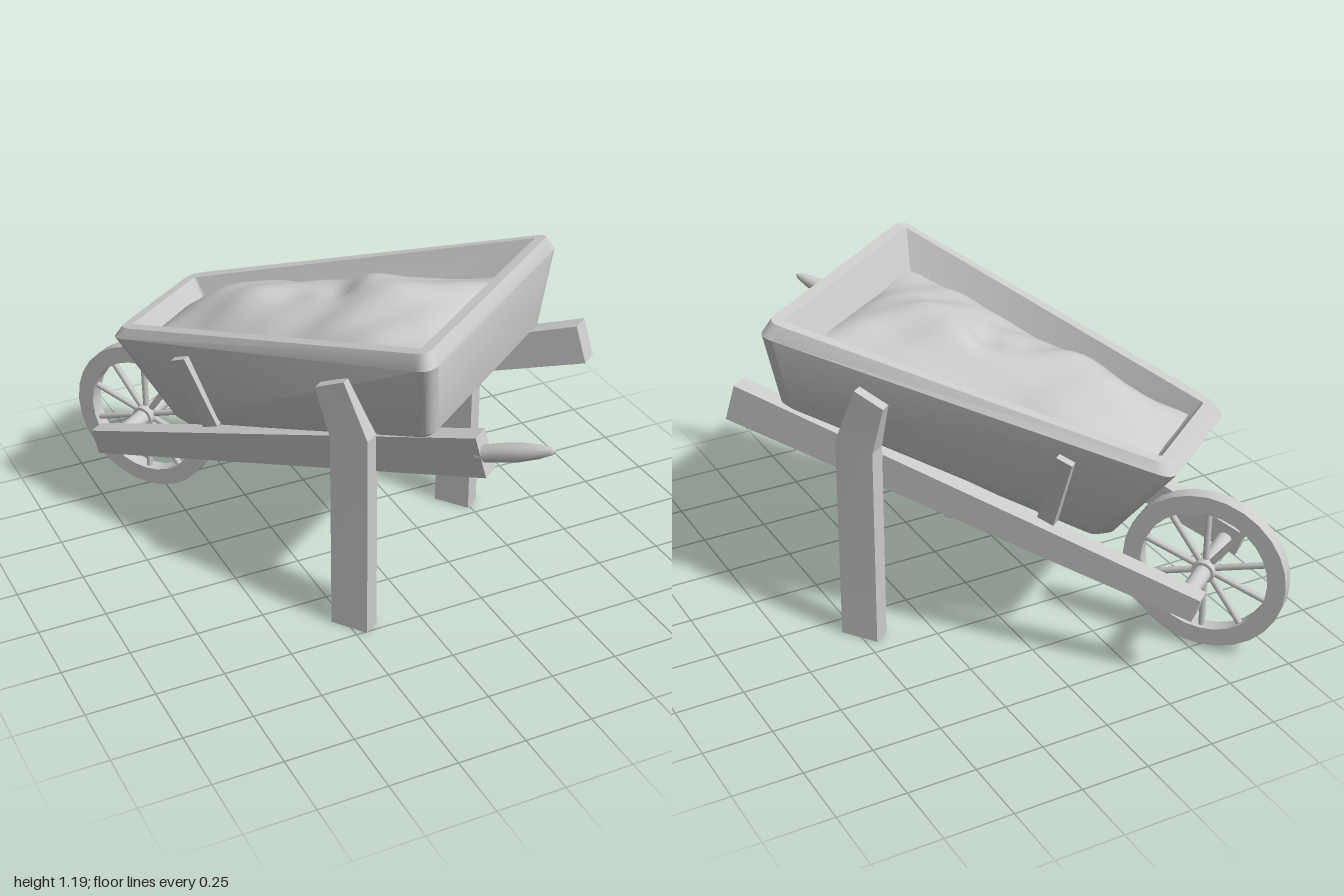
import * as THREE from 'three';
import { toCreasedNormals } from 'three/addons/utils/BufferGeometryUtils.js';

const material = new THREE.MeshStandardMaterial({ color: 0xcccccc });

function add(parent, name, geometry) {
  const mesh = new THREE.Mesh(geometry, material);
  mesh.name = name;
  parent.add(mesh);
  return mesh;
}

// Solid skin through rings of [x, y, z] points, closed at both ends.
function loft(rings, crease = 0.6) {
  const n = rings[0].length, idx = [], last = (rings.length - 1) * n;
  for (let i = 0; i < rings.length - 1; i++) {
    for (let j = 0; j < n; j++) {
      const a = i * n + j, b = i * n + (j + 1) % n;
      idx.push(a, b, b + n, a, b + n, a + n);
    }
  }
  for (let j = 1; j < n - 1; j++) {
    idx.push(0, j + 1, j);
    idx.push(last, last + j, last + j + 1);
  }
  const g = new THREE.BufferGeometry();
  g.setAttribute('position', new THREE.Float32BufferAttribute(rings.flat(2), 3));
  g.setIndex(idx);
  return toCreasedNormals(g, crease);
}

// Mirrors rings to the other side while keeping the faces outward.
const sided = (rings, side) => side > 0 ? rings
  : rings.map(r => r.map(([x, y, z]) => [-x, y, z]).reverse());

// Horizontal rectangle, with its own height at the front and rear edge.
const flatRect = (x0, x1, z0, z1, yFront, yRear = yFront) =>
  [[x1, yRear, z1], [x1, yFront, z0], [x0, yFront, z0], [x0, yRear, z1]];

// Upright rectangle around a beam end, tilted square to the beam.
function beamEnd(x, y, z, w, h) {
  const t = 0.3, a = w / 2, b = h / 2 * 0.955;
  return [[x - a, y - b, z + b * t], [x + a, y - b, z + b * t],
    [x + a, y + b, z - b * t], [x - a, y + b, z - b * t]];
}

// Sloping trapezoid with rounded corners.
function trayRing(zf, yf, hf, zr, yr, hr, r) {
  const c = [[hr, zr], [hf, zf], [-hf, zf], [-hr, zr]].map(p => new THREE.Vector2(...p));
  const out = [];
  c.forEach((p, i) => {
    const toward = q => q.clone().sub(p).setLength(r).add(p);
    const arc = new THREE.QuadraticBezierCurve(toward(c[(i + 3) % 4]), p, toward(c[(i + 1) % 4]));
    arc.getPoints(5).forEach(v =>
      out.push([v.x, yf + (yr - yf) * (v.y - zf) / (zr - zf), v.y]));
  });
  return out;
}

// Uneven heap of soil filling the tray.
function soilGeometry() {
  const g = new THREE.PlaneGeometry(2, 1, 28, 36);
  const p = g.attributes.position;
  for (let i = 0; i < p.count; i++) {
    const s = p.getX(i), t = 0.5 - p.getY(i);
    const x = s * (0.205 + 0.17 * t), z = -0.765 + 1.175 * t;
    const ends = 1 - Math.abs(2 * t - 1) ** 5;
    const lumps = 0.022 * Math.sin(9 * x + 5 * z + 1) * Math.cos(8 * z - 6 * x)
      + 0.012 * Math.sin(21 * x - 9 * z) * Math.sin(17 * z + 2);
    const hollow = 0.05 * Math.exp(-((x - 0.01) ** 2 + (z + 0.08) ** 2) / 0.004);
    const y = 0.785 + 0.27 * t + 0.115 * (1 - s * s) * ends
      + lumps * (0.4 + 0.6 * (1 - s ** 4) * ends) - hollow;
    p.setXYZ(i, x, y, z);
  }
  g.computeVertexNormals();
  return g;
}

export function createModel() {
  const model = new THREE.Group();
  model.name = 'wheelbarrow';

  // Tray: up the outside, over the rim, down the steeply flared inside
  const tray = add(model, 'tray', loft([
    trayRing(-0.6, 0.474, 0.215, 0.485, 0.838, 0.43, 0.04),
    trayRing(-0.65, 0.5, 0.232, 0.508, 0.865, 0.455, 0.05),
    trayRing(-0.876, 0.79, 0.265, 0.532, 1.14, 0.524, 0.055),
    trayRing(-0.85, 0.83, 0.248, 0.505, 1.188, 0.5, 0.05),
    trayRing(-0.812, 0.838, 0.212, 0.465, 1.18, 0.458, 0.01),
    trayRing(-0.64, 0.55, 0.165, 0.36, 0.88, 0.31, 0.01),
  ]));
  tray.position.x = -0.01;
  add(model, 'soil', soilGeometry());

  for (const side of [1, -1]) {
    const label = side > 0 ? 'left' : 'right';
    // Long tapering beam under the tray
    add(model, label + 'Beam', loft(sided([
      beamEnd(0.236, 0.313, -0.985, 0.064, 0.095),
      beamEnd(0.43, 0.832, 0.685, 0.073, 0.145),
    ], side)));
    // Leg, upright below and leaning along the tray above; the pair is slightly staggered
    const leg = add(model, label + 'Leg', loft(sided([
      flatRect(0.408, 0.48, 0.13, 0.272, 0),
      flatRect(0.408, 0.48, 0.13, 0.272, 0.765, 0.785),
      flatRect(0.45, 0.49, 0.08, 0.188, 0.95, 0.997),
    ], side), 0.15));
    leg.position.z = -0.01 * side;
    // Short strut bracing the front of the tray
    add(model, label + 'Strut', loft(sided([
      flatRect(0.262, 0.305, -0.475, -0.415, 0.54, 0.56),
      flatRect(0.333, 0.363, -0.56, -0.503, 0.82, 0.84),
    ], side), 0.15));
  }

  // Single rounded grip, on the right beam
  const grip = add(model, 'grip', toCreasedNormals(new THREE.LatheGeometry(
    [[0, -0.03], [0.028, -0.03], [0.032, 0.06], [0.032, 0.12], [0.024, 0.19], [0.012, 0.24], [0, 0.252]]
      .map(p => new THREE.Vector2(...p)), 12), 0.7));
  grip.position.set(-0.438, 0.838, 0.69);
  grip.quaternion.setFromUnitVectors(new THREE.Vector3(0, 1, 0),
    new THREE.Vector3(0, 0.32, 1).normalize());

  // Wheel, turning about the local y axis before being laid on its side
  const wheel = new THREE.Group();
  wheel.name = 'wheel';
  wheel.position.set(-0.004, 0.315, -0.926);
  wheel.rotation.z = Math.PI / 2;
  model.add(wheel);
  add(wheel, 'rim', toCreasedNormals(new THREE.LatheGeometry(
    [[0.232, -0.027], [0.298, -0.027], [0.298, 0.027], [0.232, 0.027], [0.232, -0.027]]
      .map(p => new THREE.Vector2(...p)), 28), 0.6));
  add(wheel, 'hub', new THREE.CylinderGeometry(0.042, 0.042, 0.07, 16));
  add(wheel, 'axle', new THREE.CylinderGeometry(0.031, 0.031, 0.45, 16));
  for (let i = 0; i < 10; i++) {
    const a = i * Math.PI / 5;
    const spoke = add(wheel, 'spoke', new THREE.CylinderGeometry(0.012, 0.012, 0.22, 8));
    spoke.position.set(Math.cos(a) * 0.135, 0, Math.sin(a) * 0.135);
    spoke.rotation.set(Math.PI / 2, 0, a - Math.PI / 2);
  }

  // The barrow stands turned on the spot
  model.rotation.y = 0.637;
  model.position.set(0.006, 0, -0.005);
  const root = new THREE.Group();
  root.add(model);
  return root;
}
